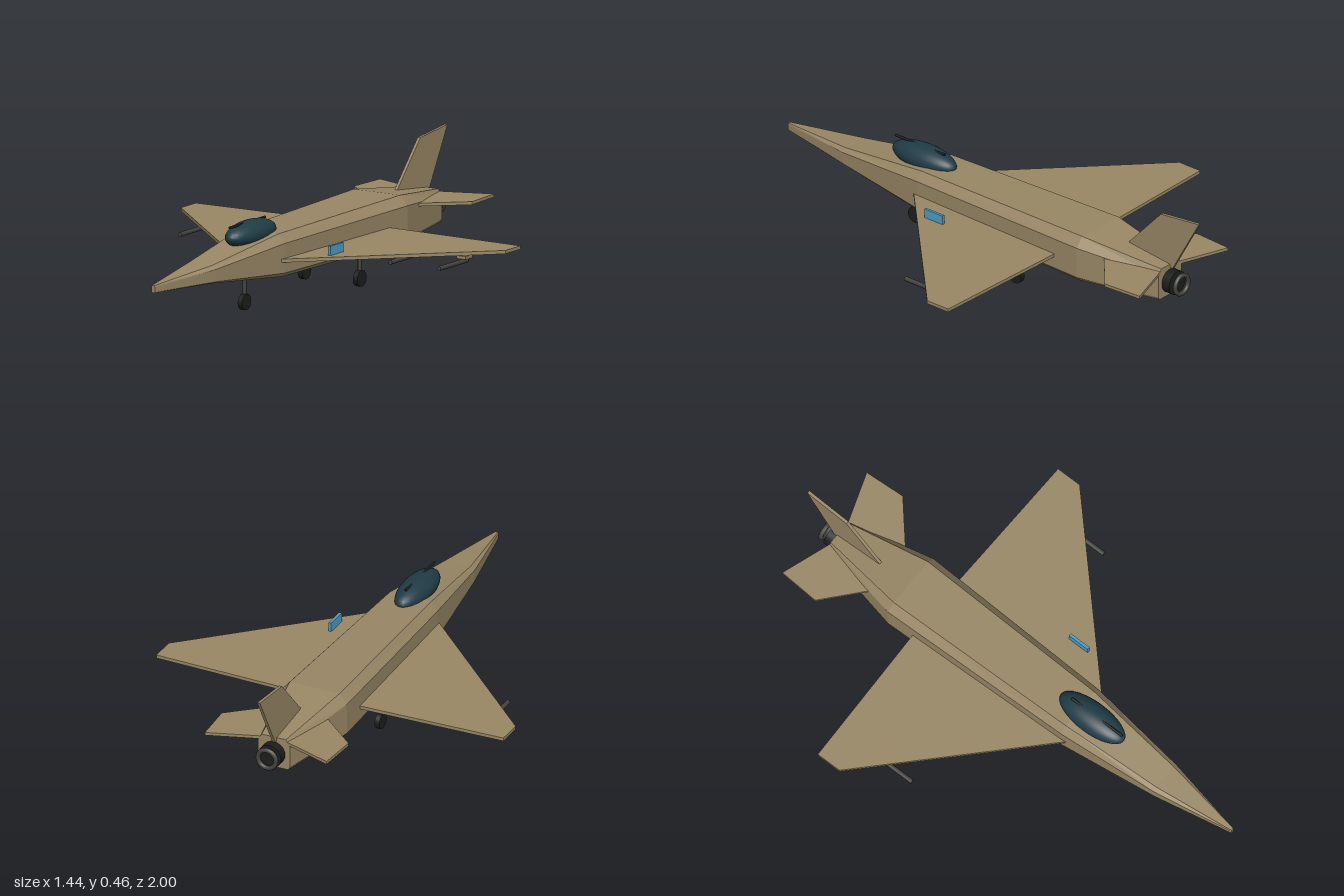
import * as THREE from 'three';

const material = (color, flatShading = false) => new THREE.MeshStandardMaterial({ color, flatShading });
const tan = material(0x998866, true);
const canopyGlass = material(0x203c46);
const dark = material(0x1c1e1e);
const steel = material(0x45433f);
const blue = material(0x4f9fc8);

// Octagonal body lofted through sections: z, half width, bottom y, top y
function fuselageGeometry() {
  const sections = [
    [-0.86, 0.066, 0.125, 0.25],
    [-0.52, 0.135, 0.115, 0.29],
    [0.28, 0.112, 0.12, 0.28],
    [0.68, 0.068, 0.16, 0.226],
    [1, 0.007, 0.172, 0.2],
  ];
  const positions = [], index = [];
  for (const [z, w, lo, hi] of sections) {
    const h = hi - lo, up = hi - h * 0.21, down = lo + h * 0.09;
    const ring = [[w, down], [w, up], [w * 0.76, hi], [-w * 0.76, hi], [-w, up], [-w, down], [-w * 0.9, lo], [w * 0.9, lo]];
    ring.forEach(([x, y]) => positions.push(x, y, z));
  }
  const n = 8, last = (sections.length - 1) * n;
  for (let s = 0; s < last; s += n) {
    for (let j = 0; j < n; j++) {
      const k = (j + 1) % n;
      index.push(s + j, s + k, s + n + k, s + j, s + n + k, s + n + j);
    }
  }
  for (let j = 1; j < n - 1; j++) index.push(0, j + 1, j, last, last + j, last + j + 1);
  const geometry = new THREE.BufferGeometry();
  geometry.setAttribute('position', new THREE.Float32BufferAttribute(positions, 3));
  geometry.setIndex(index);
  const flat = geometry.toNonIndexed();
  flat.computeVertexNormals();
  return flat;
}

// Flat plate cut from an outline
function plate(points, depth) {
  const shape = new THREE.Shape(points.map(([x, y]) => new THREE.Vector2(x, y)));
  return new THREE.ExtrudeGeometry(shape, { depth, bevelEnabled: false });
}

export function createModel() {
  const model = new THREE.Group();
  const add = (name, geometry, mat, x = 0, y = 0, z = 0) => {
    const mesh = new THREE.Mesh(geometry, mat);
    mesh.name = name;
    mesh.position.set(x, y, z);
    model.add(mesh);
    return mesh;
  };
  // Cylinder lying along z
  const rod = (r, length, sides = 16, open = false) =>
    new THREE.CylinderGeometry(r, r, length, sides, 1, open).rotateX(Math.PI / 2);

  add('fuselage', fuselageGeometry(), tan);

  // Canopy with the probe on top
  add('canopy', new THREE.SphereGeometry(1, 32, 20).scale(0.06, 0.05, 0.149), canopyGlass, 0, 0.285, 0.338);
  add('probe', rod(0.005, 0.24, 10), dark, 0, 0.328, 0.36);

  // Belly intake
  add('intake', new THREE.SphereGeometry(1, 24, 16).scale(0.052, 0.035, 0.1), tan, 0, 0.128, 0.085);
  add('intakeLip', new THREE.SphereGeometry(1, 24, 16).scale(0.05, 0.033, 0.06), dark, 0, 0.128, 0.138);

  // Main wings and tailplanes, with stores below the wings
  for (const [side, s] of [['left', 1], ['right', -1]]) {
    const mirror = (points) => points.map(([x, z]) => [x * s, z]);
    const wing = plate(mirror([[0.05, 0.355], [0.718, -0.29], [0.718, -0.392], [0.05, -0.41]]), 0.013);
    add(side + 'Wing', wing.rotateX(Math.PI / 2), tan, 0, 0.19, 0);
    const tail = plate(mirror([[0.05, -0.58], [0.262, -0.765], [0.252, -0.928], [0.04, -0.855]]), 0.012);
    add(side + 'Tailplane', tail.rotateX(Math.PI / 2), tan, 0, 0.241, 0);
    for (const x of [0.358, 0.573]) {
      add(side + 'Missile', rod(0.009, 0.19, 12), steel, s * x, 0.144, -0.155);
      add(side + 'MissileFin', new THREE.BoxGeometry(0.04, 0.012, 0.048), tan, s * x, 0.16, -0.236);
    }
  }

  // Upright fin
  const fin = plate([[-0.65, 0.265], [-0.815, 0.445], [-1, 0.464], [-0.872, 0.235]], 0.012);
  add('tailFin', fin.rotateY(-Math.PI / 2), tan);

  // Engine nozzle and its exhaust ring
  add('nozzle', rod(0.047, 0.055, 24), dark, 0, 0.184, -0.868);
  add('exhaustRing', new THREE.TorusGeometry(0.037, 0.009, 10, 28), steel, 0, 0.184, -0.917);

  // Landing gear
  const strut = new THREE.CylinderGeometry(0.007, 0.007, 0.11, 12);
  const wheel = new THREE.CylinderGeometry(0.031, 0.031, 0.02, 20).rotateZ(Math.PI / 2);
  for (const [name, x, z] of [['nose', 0, 0.38], ['left', 0.122, -0.215], ['right', -0.122, -0.215]]) {
    add(name + 'GearStrut', strut, steel, x, 0.085, z);
    add(name + 'GearWheel', wheel, dark, x, 0.031, z);
  }

  // Marker panel standing on the left wing
  add('wingPanel', new THREE.BoxGeometry(0.011, 0.036, 0.088), blue, 0.222, 0.208, 0.1);

  return model;
}
